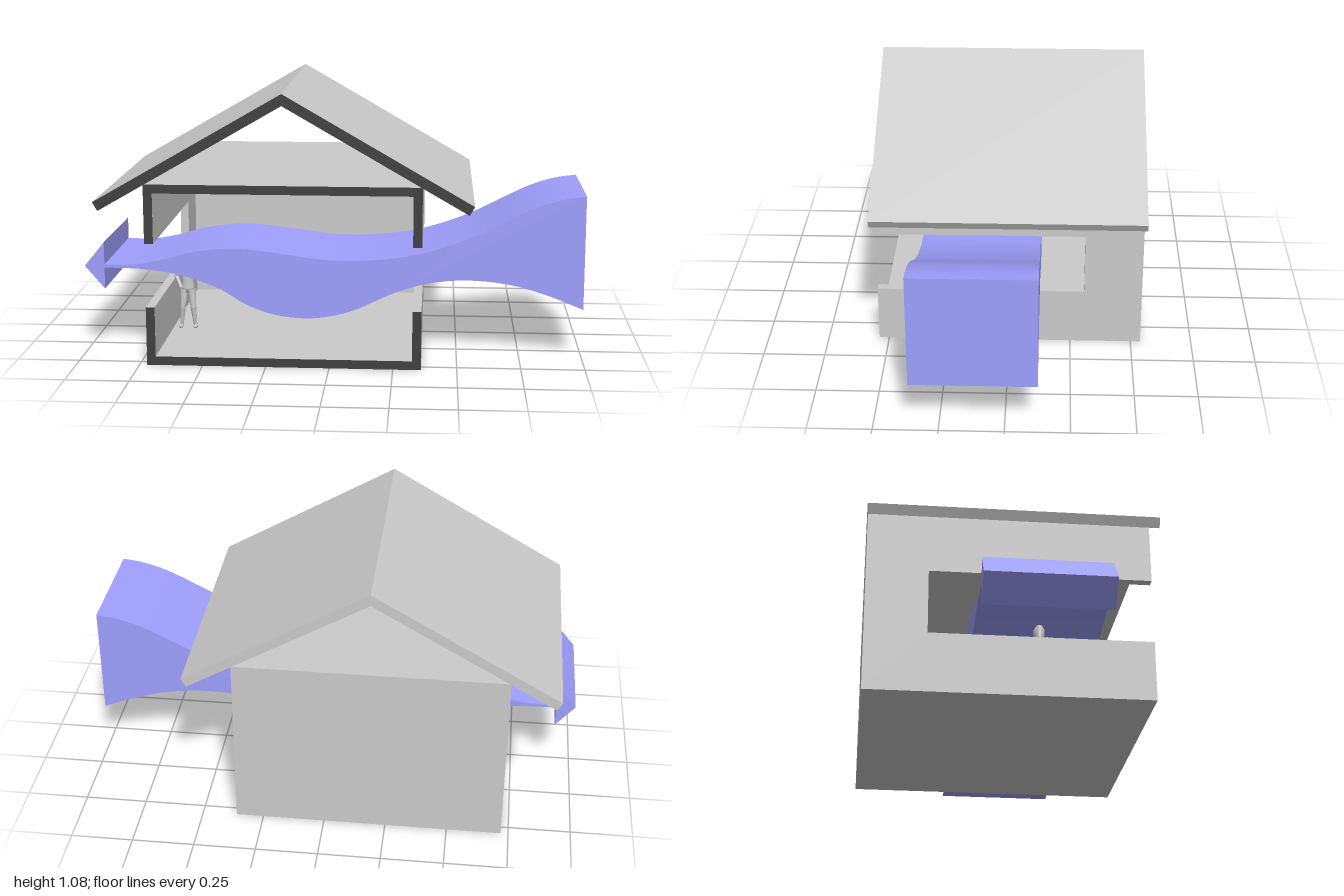
import * as THREE from 'three';
import { toCreasedNormals } from 'three/addons/utils/BufferGeometryUtils.js';

const grey = new THREE.MeshStandardMaterial({ color: 0xcccccc });
const dark = new THREE.MeshStandardMaterial({ color: 0x404040 });
const blue = new THREE.MeshStandardMaterial({ color: 0xa0a0ff });

// House outline: left, right, height, wall thickness, front and back
const L = -0.72, R = 0.36, H = 0.725, T = 0.035, F = 0.54, B = -0.54;
const SILL = 0.235, HEAD = 0.49, JAMB = -0.305;

const toShape = (pts) => new THREE.Shape(pts.map(([x, y]) => new THREE.Vector2(x, y)));

export function createModel() {
  const root = new THREE.Group();

  const add = (name, geometry, material = grey, parent = root) => {
    const mesh = new THREE.Mesh(geometry, material);
    mesh.name = name;
    parent.add(mesh);
    return mesh;
  };
  const box = (name, x0, x1, y0, y1, z0, z1) =>
    add(name, new THREE.BoxGeometry(x1 - x0, y1 - y0, z1 - z0))
      .position.set((x0 + x1) / 2, (y0 + y1) / 2, (z0 + z1) / 2);
  const prism = (shape, z0, z1) => new THREE.ExtrudeGeometry(shape,
    { depth: z1 - z0, bevelEnabled: false }).translate(0, 0, z0);
  const cutFace = (name, pts) =>
    add(name, new THREE.ShapeGeometry(toShape(pts)).translate(0, 0, F + 0.001), dark);

  // Open-fronted room
  box('floor', L + T, R - T, 0, T, B, F);
  box('ceiling', L + T, R - T, H - T, H, B, F);
  box('backWall', L + T, R - T, T, H - T, B, B + T);

  // Side walls, notched by a window that runs out to the open front
  const wall = toShape([[B, 0], [F, 0], [F, SILL], [JAMB, SILL],
    [JAMB, HEAD], [F, HEAD], [F, H], [B, H]]);
  for (const [name, x] of [['rightWall', L + T], ['leftWall', R]]) {
    const g = new THREE.ExtrudeGeometry(wall, { depth: T, bevelEnabled: false });
    add(name, g.rotateY(-Math.PI / 2).translate(x, 0, 0));
  }

  // Gabled roof with square-cut eaves
  const ridge = (L + R) / 2, half = 0.74, slope = Math.PI / 6, thick = 0.04;
  const apex = 1.08, eave = apex - half * Math.tan(slope);
  const inX = half - thick * Math.sin(slope), inY = eave - thick * Math.cos(slope);
  const roof = [[ridge, apex], [ridge - half, eave], [ridge - inX, inY],
    [ridge, apex - thick / Math.cos(slope)], [ridge + inX, inY], [ridge + half, eave]];
  add('roof', prism(toShape(roof), B, F));

  // Dark section faces at the cut front
  cutFace('roofCutFace', roof);
  cutFace('lowerCutFace', [[L, 0], [R, 0], [R, SILL], [R - T, SILL],
    [R - T, T], [L + T, T], [L + T, SILL], [L, SILL]]);
  cutFace('upperCutFace', [[L, H], [L, HEAD], [L + T, HEAD], [L + T, H - T],
    [R - T, H - T], [R - T, HEAD], [R, HEAD], [R, H]]);

  // Airflow band sweeping through the windows, ending in an arrowhead
  const smooth = (pts) => new THREE.CatmullRomCurve3(
    pts.map(([x, y]) => new THREE.Vector3(x, y, 0))).getPoints(60).map((p) => [p.x, p.y]);
  const top = smooth([[-0.92, 0.36], [-0.8, 0.362], [-0.7, 0.38], [-0.56, 0.417],
    [-0.4, 0.433], [-0.24, 0.42], [-0.07, 0.397], [0.03, 0.391], [0.2, 0.398],
    [0.36, 0.425], [0.55, 0.49], [0.7, 0.565], [0.82, 0.622], [0.92, 0.652], [1, 0.663]]);
  const bottom = smooth([[-0.92, 0.348], [-0.75, 0.343], [-0.6, 0.318], [-0.45, 0.265],
    [-0.35, 0.205], [-0.24, 0.165], [-0.11, 0.15], [0, 0.162], [0.1, 0.192],
    [0.25, 0.262], [0.38, 0.302], [0.54, 0.318], [0.72, 0.3], [0.86, 0.26], [1, 0.205]]);
  const z0 = -0.125, z1 = 0.36;
  add('airflowBand', toCreasedNormals(
    prism(toShape([...bottom, ...top.reverse()]), z0, z1), 0.5), blue);
  add('airflowArrowhead', prism(
    toShape([[-1, 0.354], [-0.92, 0.26], [-0.92, 0.452]]), z0, z1), blue);

  // Standing person, one hand on the hip and one raised to the chest
  const person = new THREE.Group();
  person.name = 'person';
  person.position.set(-0.622, T, 0.12);
  root.add(person);
  const limb = (name, a, b, r0, r1) => {
    const p = new THREE.Vector3(...a), q = new THREE.Vector3(...b);
    const d = q.clone().sub(p);
    const m = add(name, new THREE.CylinderGeometry(r1, r0, d.length(), 10), grey, person);
    m.position.copy(p).add(q).multiplyScalar(0.5);
    m.quaternion.setFromUnitVectors(new THREE.Vector3(0, 1, 0), d.normalize());
    add(name + 'Joint', new THREE.SphereGeometry(r1, 10, 8), grey, person).position.copy(q);
  };
  for (const s of [-1, 1]) {
    const hip = [s * 0.015, 0.165, 0], knee = [s * 0.022, 0.09, 0.008];
    const ankle = [s * 0.029, 0.01, 0];
    limb('thigh', hip, knee, 0.018, 0.012);
    limb('shin', knee, ankle, 0.012, 0.007);
    add('foot', new THREE.SphereGeometry(0.01, 10, 8).scale(0.9, 0.8, 2), grey, person)
      .position.set(s * 0.031, 0.008, 0.009);
    const elbow = [s * 0.049, 0.222, -0.004];
    limb('upperArm', [s * 0.034, 0.272, 0], elbow, 0.011, 0.009);
    limb('forearm', elbow, s < 0 ? [-0.027, 0.178, 0.016] : [0.03, 0.255, 0.035], 0.009, 0.007);
  }
  const torso = [[0, 0.15], [0.024, 0.155], [0.029, 0.175], [0.024, 0.205],
    [0.031, 0.245], [0.034, 0.272], [0.018, 0.288], [0.01, 0.294], [0.009, 0.31]];
  add('torso', new THREE.LatheGeometry(torso.map(([r, y]) => new THREE.Vector2(r, y)), 14)
    .scale(1, 1, 0.65), grey, person);
  add('head', new THREE.SphereGeometry(0.018, 12, 10).scale(0.9, 1.25, 1), grey, person)
    .position.set(0, 0.322, 0.003);

  return root;
}
